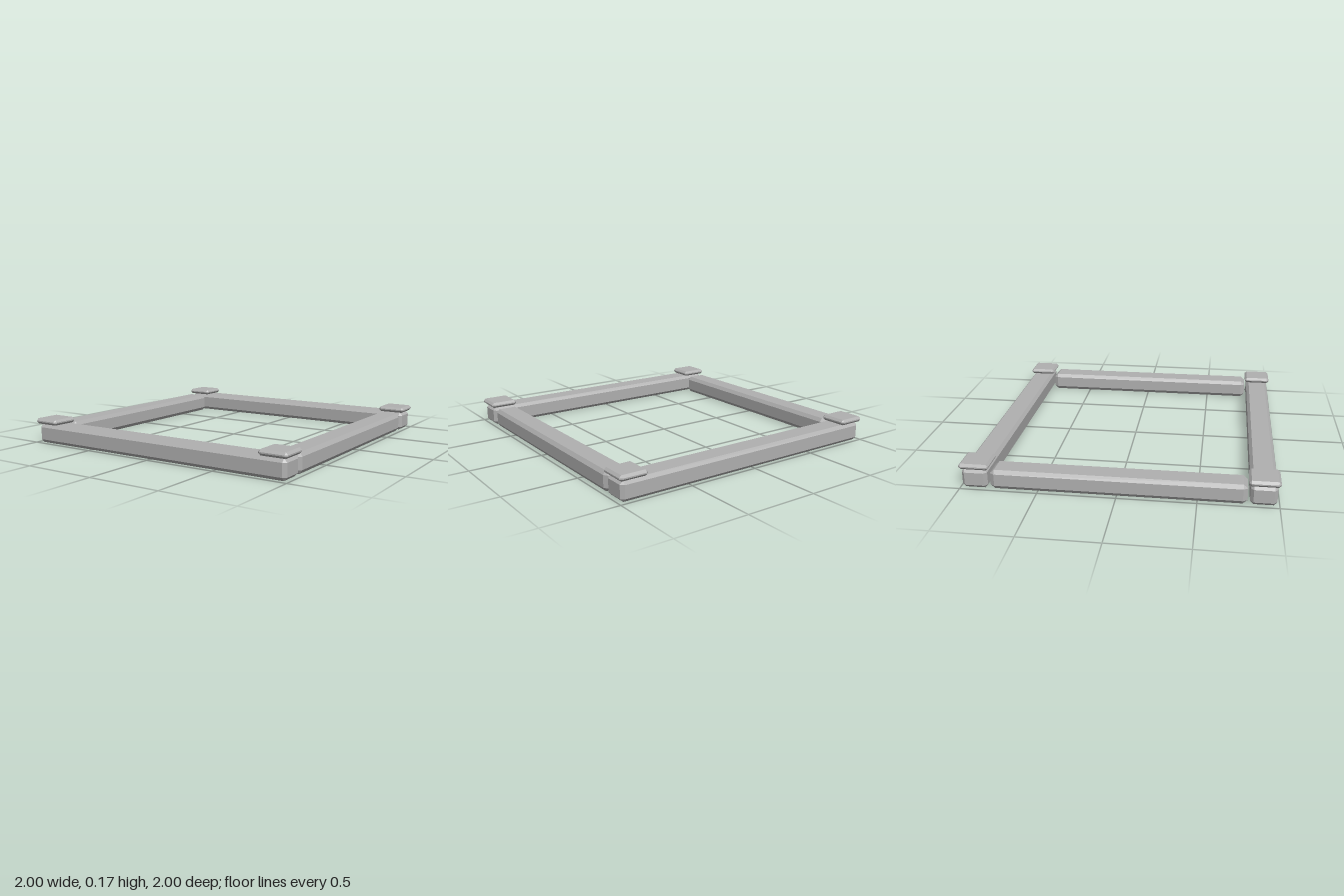
import * as THREE from 'three';
import { ConvexGeometry } from 'three/addons/geometries/ConvexGeometry.js';

// Box with every edge and corner cut off by the given chamfer sizes (x, y, z)
function chamferedBox(w, h, d, cx, cy, cz) {
  const points = [];
  for (const sx of [-1, 1]) for (const sy of [-1, 1]) for (const sz of [-1, 1]) {
    const x = w / 2, y = h / 2, z = d / 2;
    points.push(
      new THREE.Vector3(sx * x, sy * (y - cy), sz * (z - cz)),
      new THREE.Vector3(sx * (x - cx), sy * y, sz * (z - cz)),
      new THREE.Vector3(sx * (x - cx), sy * (y - cy), sz * z)
    );
  }
  return new ConvexGeometry(points);
}

export function createModel() {
  const group = new THREE.Group();
  group.name = 'squareFrame';
  const stone = new THREE.MeshStandardMaterial({ color: 0xb0b0b0 });
  stone.name = 'grey stone';

  const add = (name, geometry, x, y, z) => {
    const mesh = new THREE.Mesh(geometry, stone);
    mesh.name = name;
    mesh.position.set(x, y, z);
    group.add(mesh);
  };

  // Long beams run the full width at front and back
  const longBeam = chamferedBox(1.97, 0.13, 0.165, 0.022, 0.022, 0.02);
  add('frontBeam', longBeam, 0, 0.066, 0.902);
  add('backBeam', longBeam, 0, 0.066, -0.905);

  // Shorter beams fit between them with a small gap
  const sideBeam = chamferedBox(0.16, 0.13, 1.61, 0.018, 0.025, 0.028);
  add('leftBeam', sideBeam, 0.9, 0.066, 0);
  add('rightBeam', sideBeam, -0.902, 0.066, 0);

  // Flat bevelled cap over each corner
  const cap = chamferedBox(0.193, 0.038, 0.193, 0.015, 0.015, 0.015);
  for (const sx of [-1, 1]) for (const sz of [-1, 1]) {
    const name = (sz > 0 ? 'front' : 'back') + (sx > 0 ? 'Left' : 'Right') + 'Cap';
    add(name, cap, sx * 0.9035, 0.153, sz * 0.9035);
  }
  return group;
}
